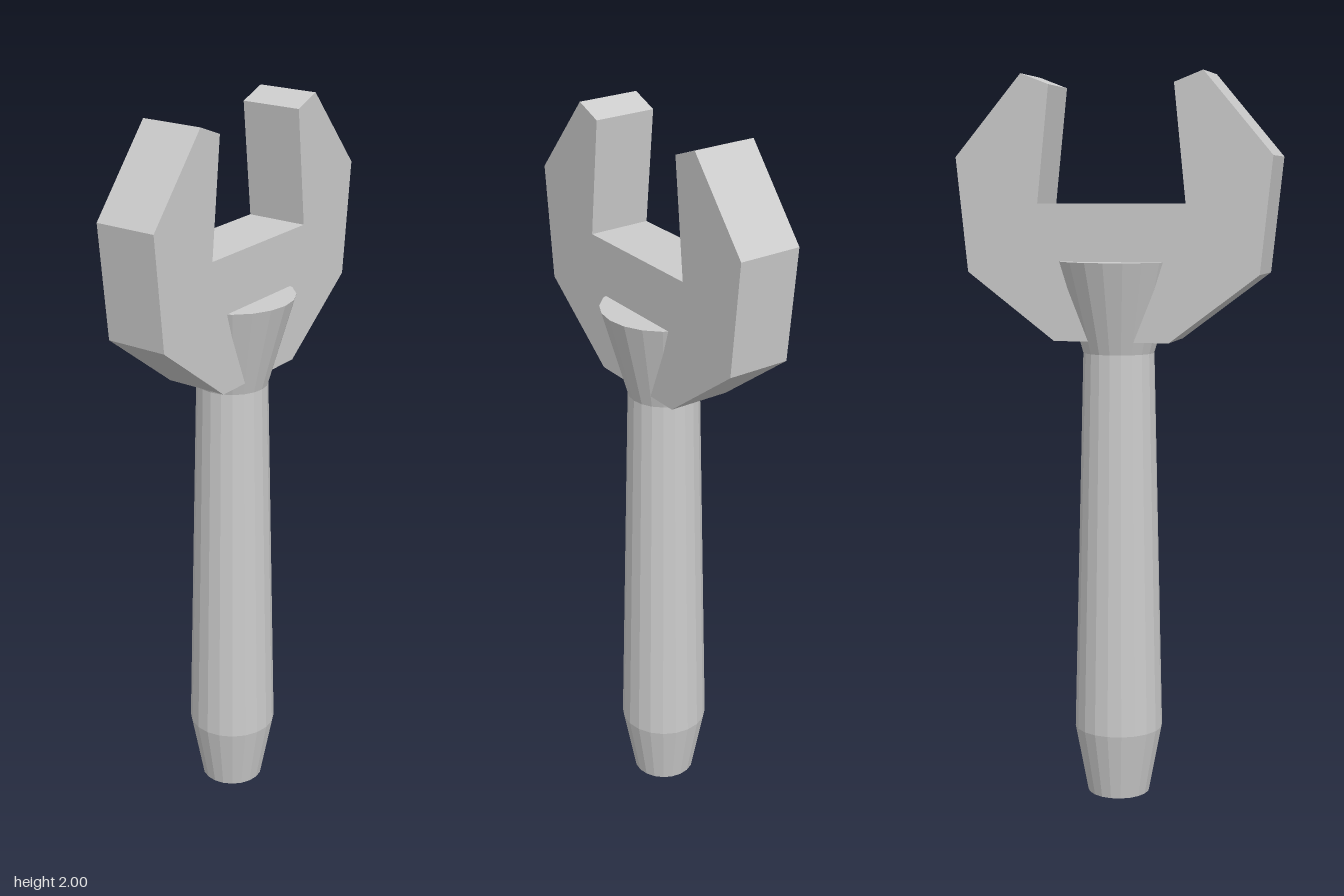
import * as THREE from 'three';

export function createModel() {
  const group = new THREE.Group();
  group.name = 'wrench';
  const material = new THREE.MeshStandardMaterial({ color: 0xcccccc, flatShading: true });

  // Round handle: tapered foot, slim shaft and flared collar, capped at both ends
  const profile = [[0, 0], [0.087, 0], [0.123, 0.19], [0.098, 1.25], [0.17, 1.5], [0, 1.5]]
    .map(([r, y]) => new THREE.Vector2(r, y));
  const handle = new THREE.Mesh(new THREE.LatheGeometry(profile, 20), material);
  handle.name = 'handle';
  group.add(handle);

  // Open-ended jaw: half outline mirrored across x, extruded to a thick plate
  const half = [[0.16, 1.285], [0.405, 1.47], [0.437, 1.78], [0.25, 2], [0.172, 1.97], [0.205, 1.655]];
  const mirrored = half.map(([x, y]) => [-x, y]).reverse();
  const outline = [...half, ...mirrored].map(([x, y]) => new THREE.Vector2(x, y));
  const depth = 0.175;
  const jawGeometry = new THREE.ExtrudeGeometry(new THREE.Shape(outline), { depth, bevelEnabled: false });
  jawGeometry.translate(0, 0, -depth / 2);
  const jaw = new THREE.Mesh(jawGeometry, material);
  jaw.name = 'jaw';
  group.add(jaw);

  return group;
}
